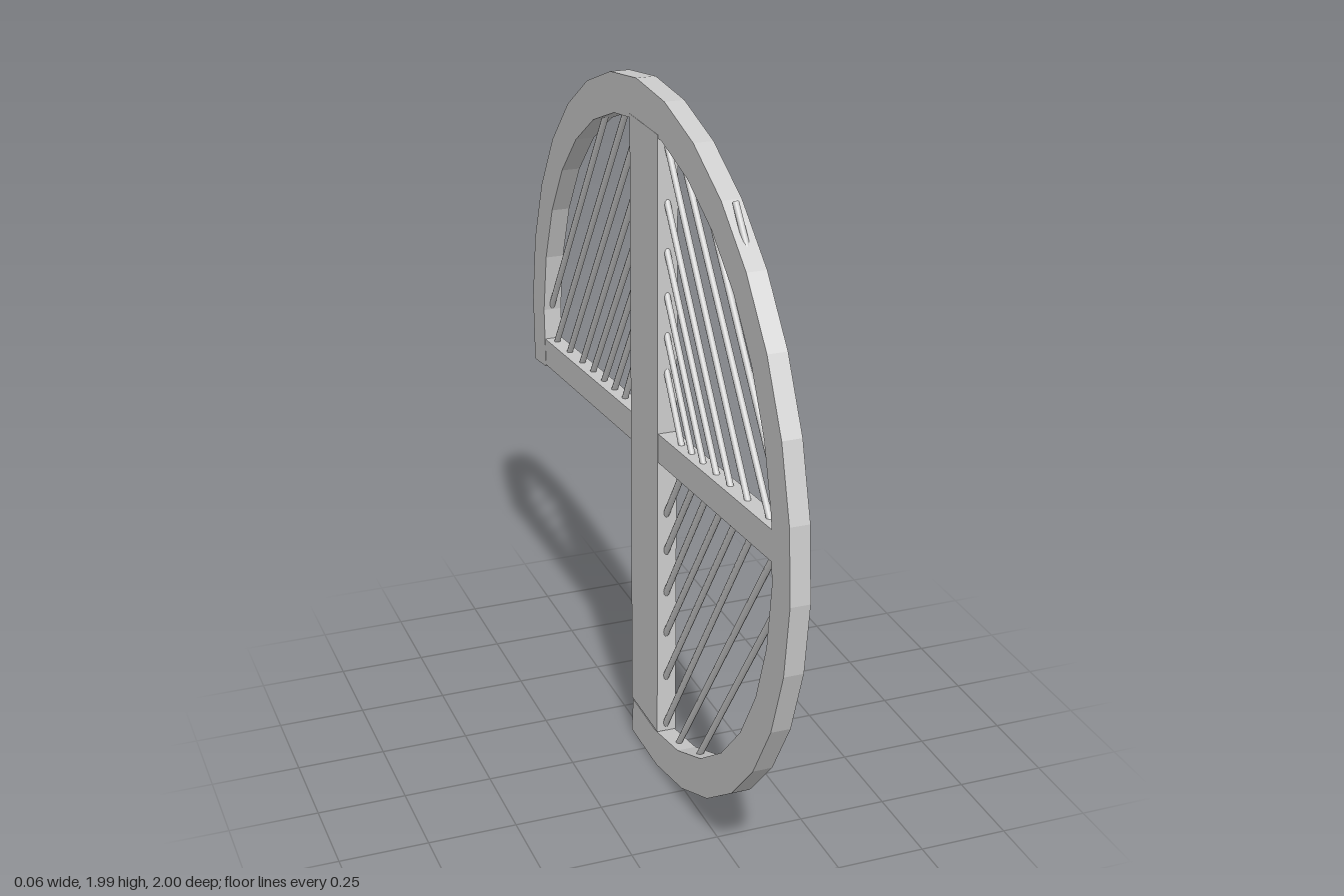
import * as THREE from 'three';

export function createModel() {
  const group = new THREE.Group();
  group.name = 'sectorGrille';
  // Everything is drawn in a local x/y plane, then turned so local x runs along -z
  const panel = new THREE.Group();
  panel.name = 'panel';
  panel.rotation.y = Math.PI / 2;
  group.add(panel);

  const mat = new THREE.MeshStandardMaterial({ color: 0xcccccc, flatShading: true });
  const rodMat = new THREE.MeshStandardMaterial({ color: 0xcccccc });
  const depth = 0.054;

  const add = (name, geometry, material = mat) => {
    const mesh = new THREE.Mesh(geometry, material);
    mesh.name = name;
    panel.add(mesh);
    return mesh;
  };

  // Open faceted rim, missing the lower right quarter
  const segments = 24;
  const start = THREE.MathUtils.degToRad(-8);
  const sweep = THREE.MathUtils.degToRad(284.4);
  const outer = [], inner = [];
  for (let i = 0; i <= segments; i++) {
    const a = start + (sweep * i) / segments;
    const at = (r) => new THREE.Vector2(Math.cos(a) * r, 1 + Math.sin(a) * r);
    outer.push(at(1));
    inner.unshift(at(0.89));
  }
  const rimGeometry = new THREE.ExtrudeGeometry(new THREE.Shape([...outer, ...inner]), { depth, bevelEnabled: false });
  rimGeometry.translate(0, 0, -depth / 2);
  add('rim', rimGeometry);

  // Upright post
  add('post', new THREE.BoxGeometry(0.21, 1.77, depth + 0.002)).position.set(0, 1.005, 0);

  // Slightly tilted crossbar with upright ends
  const bar = new THREE.Shape([
    new THREE.Vector2(-0.89, 1.04), new THREE.Vector2(0.89, 0.88),
    new THREE.Vector2(0.89, 0.965), new THREE.Vector2(-0.89, 1.125),
  ]);
  const barGeometry = new THREE.ExtrudeGeometry(bar, { depth: depth - 0.002, bevelEnabled: false });
  barGeometry.translate(0, 0, -depth / 2 + 0.001);
  add('crossbar', barGeometry);

  // Diagonal rods of each filled quarter: [x1, y1, x2, y2]
  const rods = {
    upperFrontRod: [
      [-0.77, 1.59, -0.57, 1.835], [-0.82, 1.4, -0.58, 1.695],
      [-0.88, 1.17, -0.36, 1.82], [-0.805, 1.116, -0.21, 1.86],
      [-0.667, 1.105, -0.105, 1.855], [-0.554, 1.095, -0.105, 1.7],
      [-0.458, 1.09, -0.105, 1.566], [-0.367, 1.08, -0.105, 1.443],
      [-0.286, 1.073, -0.105, 1.33], [-0.21, 1.068, -0.105, 1.225],
    ],
    upperBackRod: [
      [0.378, 1.807, 0.886, 1.079], [0.21, 1.866, 0.845, 0.97],
      [0.105, 1.86, 0.72, 0.985], [0.105, 1.71, 0.6, 0.998],
      [0.105, 1.571, 0.5, 1.009], [0.105, 1.448, 0.404, 1.015],
      [0.105, 1.336, 0.313, 1.025], [0.105, 1.234, 0.225, 1.033],
    ],
    lowerFrontRod: [
      [-0.89, 0.934, -0.367, 0.195], [-0.838, 1.03, -0.206, 0.137],
      [-0.698, 1.02, -0.105, 0.147], [-0.597, 1.014, -0.105, 0.302],
      [-0.5, 1.004, -0.105, 0.442], [-0.4, 0.998, -0.105, 0.57],
      [-0.308, 0.988, -0.105, 0.7], [-0.222, 0.982, -0.105, 0.815],
    ],
  };
  for (const [name, list] of Object.entries(rods)) {
    for (const [x1, y1, x2, y2] of list) {
      const length = Math.hypot(x2 - x1, y2 - y1) + 0.03;
      const rod = add(name, new THREE.CylinderGeometry(0.009, 0.009, length, 10), rodMat);
      rod.position.set((x1 + x2) / 2, (y1 + y2) / 2, 0);
      rod.rotation.z = Math.atan2(y2 - y1, x2 - x1) - Math.PI / 2;
    }
  }
  return group;
}
